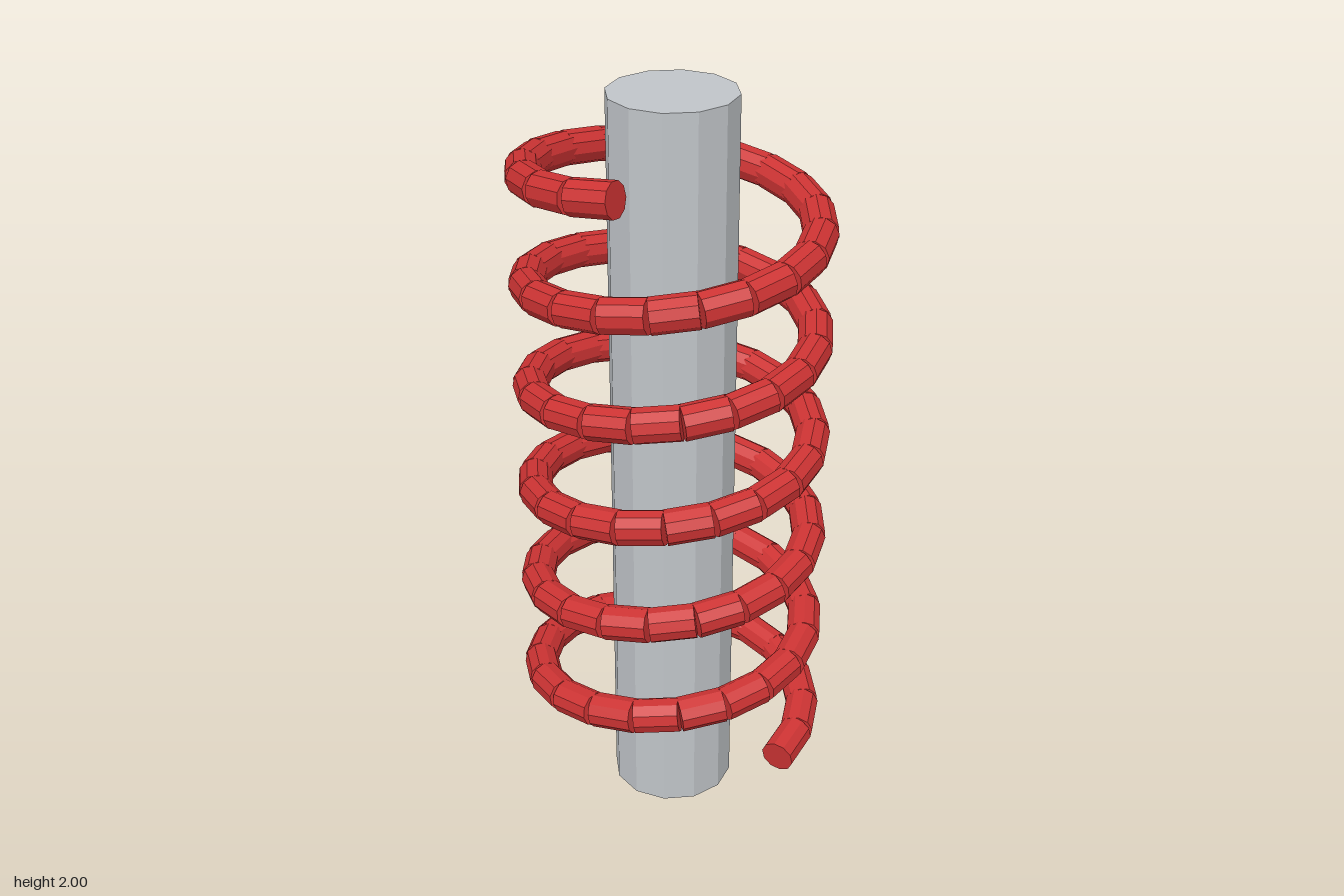
import * as THREE from 'three';

const ROD_RADIUS = 0.1636, ROD_HEIGHT = 2;
const COIL_RADIUS = 0.3636, WIRE_RADIUS = 0.0455;
const TURNS = 5.8, SEGMENTS = 114, COIL_BOTTOM = 0.2, COIL_TOP = 1.86;

// Point on the helix, t from 0 (bottom) to 1 (top)
function helixPoint(t) {
  const a = t * TURNS * Math.PI * 2;
  return new THREE.Vector3(
    Math.cos(a) * COIL_RADIUS,
    THREE.MathUtils.lerp(COIL_BOTTOM, COIL_TOP, t),
    -Math.sin(a) * COIL_RADIUS
  );
}

export function createModel() {
  const model = new THREE.Group();
  model.name = 'coilSpring';

  const steel = new THREE.MeshStandardMaterial({ color: 0xc0c4c8, flatShading: true });
  steel.name = 'steelGrey';
  const red = new THREE.MeshStandardMaterial({ color: 0xcc3333, flatShading: true });
  red.name = 'springRed';

  // Central twelve-sided rod
  const rod = new THREE.Mesh(new THREE.CylinderGeometry(ROD_RADIUS, ROD_RADIUS, ROD_HEIGHT, 12), steel);
  rod.name = 'centralRod';
  rod.position.y = ROD_HEIGHT / 2;
  model.add(rod);

  // Coil of straight wire pieces, laid end to end along the helix
  const coil = new THREE.Group();
  coil.name = 'coil';
  const length = helixPoint(0).distanceTo(helixPoint(1 / SEGMENTS));
  const piece = new THREE.CylinderGeometry(WIRE_RADIUS, WIRE_RADIUS, length, 10);
  const up = new THREE.Vector3(0, 1, 0);
  for (let i = 0; i < SEGMENTS; i++) {
    const a = helixPoint(i / SEGMENTS), b = helixPoint((i + 1) / SEGMENTS);
    const mesh = new THREE.Mesh(piece, red);
    mesh.name = `coilSegment${i + 1}`;
    mesh.position.copy(a).add(b).multiplyScalar(0.5);
    mesh.quaternion.setFromUnitVectors(up, b.sub(a).normalize());
    coil.add(mesh);
  }
  model.add(coil);

  return model;
}
